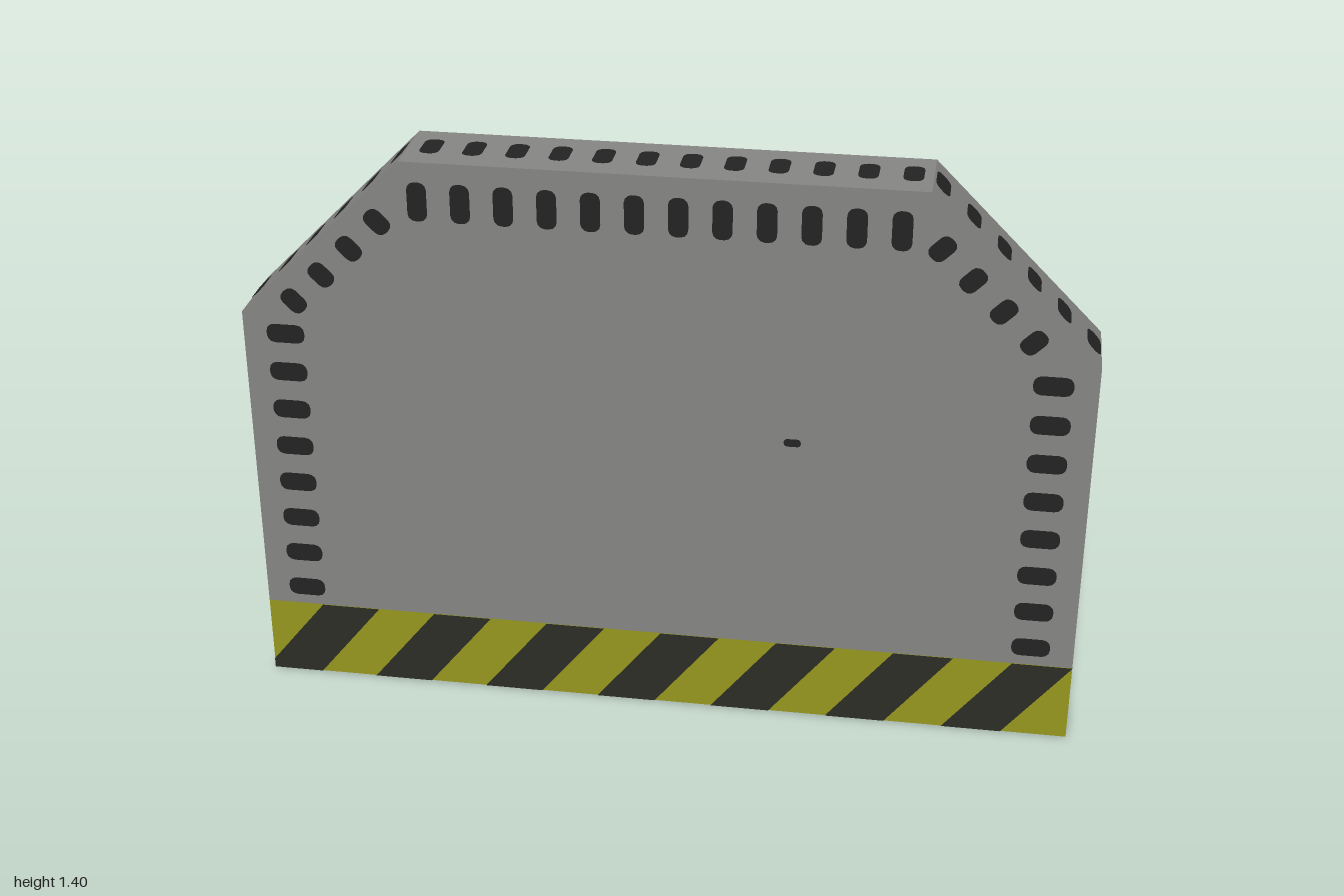
import * as THREE from 'three';

const mat = (name, color) => {
  const m = new THREE.MeshStandardMaterial({ color });
  m.name = name;
  return m;
};

// Keep the part of a polygon where sign * x <= limit
function clip(points, sign, limit) {
  const out = [];
  points.forEach((a, i) => {
    const b = points[(i + 1) % points.length];
    const da = sign * a.x - limit, db = sign * b.x - limit;
    if (da <= 0) out.push(a);
    if (da * db < 0) out.push(a.clone().lerp(b, da / (da - db)));
  });
  return out;
}

// Rounded slot shape with its long axis turned by an angle
function slot(cx, cy, w, h, angle = 0) {
  const r = Math.min(w, h) * 0.4, x = w / 2, y = h / 2, pts = [];
  [[1, 1], [-1, 1], [-1, -1], [1, -1]].forEach(([sx, sy], q) => {
    for (let i = 0; i <= 3; i++) {
      const t = (q + i / 3) * Math.PI / 2;
      const p = new THREE.Vector2(sx * (x - r) + r * Math.cos(t), sy * (y - r) + r * Math.sin(t));
      pts.push(p.rotateAround(new THREE.Vector2(), angle).add(new THREE.Vector2(cx, cy)));
    }
  });
  return new THREE.Shape(pts);
}

// Slanted stripes within |x| <= half and v0 <= y <= v0 + 0.2
function stripes(half, v0, start, period, width, shift, count) {
  const shapes = [];
  for (let k = 0; k < count; k++) {
    const a = start + k * period, b = a + width;
    let p = [[a, v0], [b, v0], [b + shift, v0 + 0.2], [a + shift, v0 + 0.2]]
      .map(([x, y]) => new THREE.Vector2(x, y));
    p = clip(clip(p, 1, half), -1, half);
    if (p.length > 2) shapes.push(new THREE.Shape(p));
  }
  return shapes;
}

export function createModel() {
  const model = new THREE.Group();
  model.name = 'barrierPanel';
  const grey = mat('panelGrey', 0x858584);
  const yellow = mat('hazardYellow', 0x96961f);
  const black = mat('stripeBlack', 0x2d2d25);
  const dark = mat('slotBlack', 0x232323);

  // Panel with chamfered upper corners
  const outline = new THREE.Shape([[-1, 0.2], [1, 0.2], [1, 1], [0.6, 1.4], [-0.6, 1.4], [-1, 1]]
    .map(([x, y]) => new THREE.Vector2(x, y)));
  const panel = new THREE.Mesh(
    new THREE.ExtrudeGeometry(outline, { depth: 0.2, bevelEnabled: false }).translate(0, 0, -0.1), grey);
  panel.name = 'panel';
  model.add(panel);

  // Hazard band along the foot
  const band = new THREE.Mesh(new THREE.BoxGeometry(2, 0.2, 0.2).translate(0, 0.1, 0), yellow);
  band.name = 'hazardBand';
  model.add(band);

  // Painted details lie on a face given by its origin, right and up directions
  const addFace = (name, origin, right, up, slots, bars = []) => {
    const face = new THREE.Group();
    face.name = name;
    const x = new THREE.Vector3(...right).normalize(), y = new THREE.Vector3(...up).normalize();
    const z = x.clone().cross(y);
    face.quaternion.setFromRotationMatrix(new THREE.Matrix4().makeBasis(x, y, z));
    face.position.set(...origin).addScaledVector(z, 0.002);
    for (const [part, shapes, m] of [['slots', slots, dark], ['stripes', bars, black]]) {
      if (!shapes.length) continue;
      const mesh = new THREE.Mesh(new THREE.ShapeGeometry(shapes), m);
      mesh.name = part;
      face.add(mesh);
    }
    model.add(face);
  };

  // Slots around the border of the broad faces
  const border = [];
  for (let i = 0; i < 8; i++)
    for (const s of [-1, 1]) border.push(slot(s * 0.897, 0.25 + i * 0.1, 0.092, 0.048));
  for (let i = 0; i < 12; i++) border.push(slot(-0.56 + i * 0.1, 1.305, 0.046, 0.095));
  for (let i = 0; i < 4; i++) {
    border.push(slot(-0.87 + i * 0.071, 1.037 + i * 0.071, 0.066, 0.046, -Math.PI / 4));
    border.push(slot(0.63 + i * 0.072, 1.268 - i * 0.071, 0.066, 0.044, Math.PI / 4));
  }
  const chip = slot(0.31, 0.757, 0.04, 0.02);
  addFace('front', [0, 0, 0.1], [1, 0, 0], [0, 1, 0], [...border, chip],
    stripes(1, 0, -1.02, 0.286, 0.145, 0.16, 7));
  addFace('back', [0, 0, -0.1], [-1, 0, 0], [0, 1, 0], border,
    stripes(1, 0, -0.98, 0.286, 0.145, 0.16, 7));

  // Edge slots: sides, chamfers and top
  const sideSlots = [], chamferSlots = [], topSlots = [];
  for (let i = 0; i < 8; i++) sideSlots.push(slot(0, 0.25 + i * 0.1, 0.09, 0.046));
  for (let i = 0; i < 6; i++) chamferSlots.push(slot(0, (i - 2.5) * 0.102, 0.09, 0.046));
  for (let i = 0; i < 12; i++) topSlots.push(slot(-0.545 + i * 0.1, 0, 0.046, 0.09));
  for (const s of [1, -1]) {
    const side = s > 0 ? 'left' : 'right';
    addFace(side + 'Side', [s, 0, 0], [0, 0, -s], [0, 1, 0], sideSlots,
      stripes(0.1, 0, -0.24, 1, 0.18, 0.21, 1));
    addFace(side + 'Chamfer', [s * 0.8, 1.2, 0], [0, 0, -s], [-s, 1, 0], chamferSlots);
  }
  addFace('top', [0, 1.4, 0], [1, 0, 0], [0, 0, -1], topSlots);
  addFace('underside', [0, 0, 0], [1, 0, 0], [0, 0, 1], [],
    stripes(1, -0.1, -1.09, 0.322, 0.16, -0.18, 8));

  return model;
}
